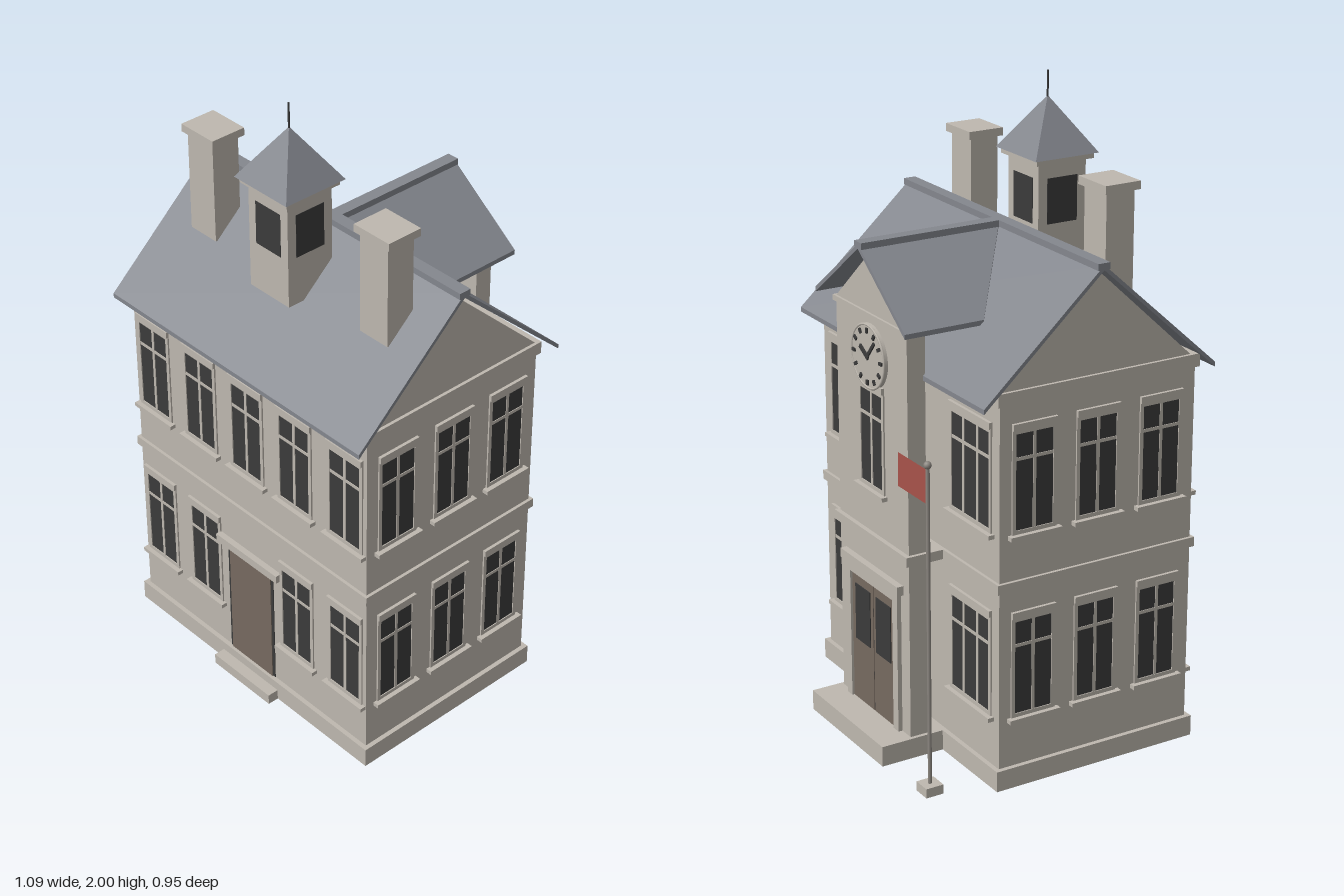
import * as THREE from 'three';

const mat = (name, color, extra = {}) => {
  const m = new THREE.MeshStandardMaterial({ color, ...extra });
  m.name = name;
  return m;
};

export function createModel() {
  const stone = mat('stone', 0xbeb8af);
  const slate = mat('slate', 0x84878e);
  const glass = mat('dark glass', 0x3b3b3b);
  const wood = mat('door wood', 0x766a60);
  const metal = mat('metal', 0x8c8781);
  const red = mat('flag red', 0xa8534a, { side: THREE.DoubleSide });

  const model = new THREE.Group();
  model.name = 'schoolhouse';

  const add = (parent, name, geometry, material, x = 0, y = 0, z = 0) => {
    const mesh = new THREE.Mesh(geometry, material);
    mesh.name = name;
    mesh.position.set(x, y, z);
    parent.add(mesh);
    return mesh;
  };
  // Box given by its extents on each axis
  const box = (parent, name, material, x0, x1, y0, y1, z0, z1) =>
    add(parent, name, new THREE.BoxGeometry(x1 - x0, y1 - y0, z1 - z0), material,
      (x0 + x1) / 2, (y0 + y1) / 2, (z0 + z1) / 2);
  const polygon = (pts) => new THREE.Shape(pts.map(([x, y]) => new THREE.Vector2(x, y)));
  const extrude = (shape, depth) => new THREE.ExtrudeGeometry(shape, { depth, bevelEnabled: false });
  // Group on a wall; its local +z points out of the wall
  const onWall = (name, x, y, z, turn) => {
    const g = new THREE.Group();
    g.name = name;
    g.position.set(x, y, z);
    g.rotation.y = turn;
    model.add(g);
    return g;
  };

  // Walls, plinths, string courses and steps
  box(model, 'mainWalls', stone, -0.52, 0.52, 0.03, 1.24, -0.25, 0.42);
  box(model, 'plinth', stone, -0.535, 0.535, 0, 0.065, -0.265, 0.435);
  box(model, 'stringCourse', stone, -0.53, 0.53, 0.63, 0.66, -0.26, 0.43);
  box(model, 'cornice', stone, -0.53, 0.53, 1.2, 1.24, -0.26, 0.43);
  box(model, 'frontStep', stone, -0.13, 0.13, 0, 0.035, 0.43, 0.472);
  // The tower front stands clear of the main wall, tied to it by its courses
  box(model, 'towerWalls', stone, -0.21, 0.21, 0.03, 1.35, -0.37, -0.31);
  box(model, 'towerStep', stone, -0.222, 0.222, 0, 0.065, -0.475, -0.25);
  box(model, 'towerStringCourse', stone, -0.222, 0.222, 0.63, 0.66, -0.385, -0.25);
  box(model, 'towerCornice', stone, -0.218, 0.218, 1.335, 1.352, -0.378, -0.25);

  // Gable walls
  const mainGable = extrude(polygon([[-0.322, 0], [0.322, 0], [0, 0.3]]), 1.04);
  mainGable.rotateY(Math.PI / 2);
  add(model, 'mainGable', mainGable, stone, -0.52, 1.24, 0.08);
  add(model, 'towerGable', extrude(polygon([[-0.21, 0], [0.21, 0], [0, 0.185]]), 0.35),
    stone, 0, 1.35, -0.37);

  // Roof slabs: flat plan outlines (x, z) lifted onto a slope
  const roofPanel = (name, plan, height, t = 0.015) => {
    const g = extrude(polygon(plan.map(([x, z]) => [x, -z])), t);
    g.rotateX(-Math.PI / 2);
    const p = g.attributes.position;
    for (let i = 0; i < p.count; i++) {
      p.setY(i, p.getY(i) - t + height(p.getX(i), p.getZ(i)));
    }
    g.computeVertexNormals();
    add(model, name, g, slate);
  };
  const mainSlope = (x, z) => 1.567 - 0.9 * Math.abs(z - 0.078);
  const crossSlope = (x) => 1.567 - 0.745 * Math.abs(x);
  for (const z of [0.474, -0.317]) {
    roofPanel('mainRoof', [[-0.545, 0.078], [0.545, 0.078], [0.545, z], [-0.545, z]], mainSlope);
  }
  for (const s of [-1, 1]) {
    roofPanel('crossRoof', [[0, 0.07], [0, -0.409], [s * 0.268, -0.409], [s * 0.268, -0.148]], crossSlope);
  }
  box(model, 'mainRidge', slate, -0.545, 0.545, 1.553, 1.573, 0.057, 0.097);
  box(model, 'crossRidge', slate, -0.02, 0.02, 1.553, 1.573, -0.409, 0.06);

  // Windows: glass, frame, mullions, transom, sill and lintel; y is the bottom of the frame
  const addWindow = (x, y, z, turn, w = 0.15, mullions = 1) => {
    const g = onWall('window', x, y, z, turn);
    const h = 0.318, b = 0.012, r = w / 2;
    const frame = polygon([[-r, 0], [r, 0], [r, h], [-r, h]]);
    frame.holes.push(polygon([[b - r, b], [b - r, h - b], [r - b, h - b], [r - b, b]]));
    add(g, 'windowFrame', extrude(frame, 0.005), stone);
    box(g, 'windowGlass', glass, b - r, r - b, b, h - b, 0, 0.002);
    for (let i = 1; i <= mullions; i++) {
      const mx = -r + (w * i) / (mullions + 1);
      box(g, 'mullion', stone, mx - 0.005, mx + 0.005, b, h - b, 0, 0.004);
    }
    box(g, 'transom', stone, b - r, r - b, 0.225, 0.235, 0, 0.004);
    box(g, 'windowSill', stone, -r - 0.012, r + 0.012, -0.013, 0, 0, 0.02);
    box(g, 'windowLintel', stone, -r, r, h, h + 0.02, 0, 0.01);
  };
  for (const y of [0.223, 0.803]) {
    for (const x of [-0.43, -0.213, 0, 0.213, 0.43]) {
      if (x !== 0 || y > 0.5) addWindow(x, y, 0.42, 0);
    }
    for (const s of [-1, 1]) {
      for (const z of [0.302, 0.082, -0.135]) addWindow(s * 0.52, y, z, s * Math.PI / 2);
      addWindow(s * 0.365, y, -0.25, Math.PI, 0.23, 2);
    }
  }
  addWindow(0, 0.803, -0.37, Math.PI);

  // Front door
  const door = onWall('frontDoor', 0, 0, 0.42, 0);
  box(door, 'doorFrame', glass, -0.105, 0.105, 0.065, 0.475, 0, 0.002);
  box(door, 'doorLeaf', wood, -0.095, 0.095, 0.065, 0.463, 0, 0.005);
  box(door, 'doorLintel', stone, -0.14, 0.14, 0.478, 0.505, 0, 0.02);

  // Double door and portal on the tower
  const portal = onWall('towerPortal', 0, 0, -0.37, Math.PI);
  box(portal, 'portalLintel', stone, -0.175, 0.175, 0.52, 0.55, 0, 0.022);
  box(portal, 'portalHead', stone, -0.16, 0.16, 0.49, 0.52, 0, 0.014);
  for (const s of [-1, 1]) {
    const span = (a, b) => [Math.min(s * a, s * b), Math.max(s * a, s * b)];
    box(portal, 'portalPillar', stone, ...span(0.13, 0.16), 0.065, 0.49, 0, 0.014);
    box(portal, 'doorLeaf', wood, ...span(0.002, 0.13), 0.065, 0.49, 0, 0.006);
    box(portal, 'doorPane', glass, ...span(0.018, 0.108), 0.27, 0.455, 0.004, 0.009);
  }
  box(portal, 'doorGap', glass, -0.002, 0.002, 0.065, 0.49, 0, 0.004);

  // Clock
  const clock = onWall('clock', 0, 1.22, -0.37, Math.PI);
  const disc = new THREE.CylinderGeometry(0.1, 0.1, 0.012, 32).rotateX(Math.PI / 2);
  add(clock, 'clockFace', disc, stone, 0, 0, 0.006);
  add(clock, 'clockRim', new THREE.TorusGeometry(0.097, 0.004, 6, 32), stone, 0, 0, 0.011);
  const pointer = (name, angle, from, to, w) => {
    const g = new THREE.BoxGeometry(w, to - from, 0.005).translate(0, (from + to) / 2, 0);
    add(clock, name, g, glass, 0, 0, 0.0145).rotation.z = -angle;
  };
  for (let i = 0; i < 12; i++) pointer('hourMark', (i * Math.PI) / 6, 0.072, 0.088, 0.01);
  pointer('hourHand', (10 * Math.PI) / 6, -0.008, 0.048, 0.014);
  pointer('minuteHand', Math.PI / 4.5, -0.008, 0.068, 0.01);

  // Chimneys
  for (const x of [-0.37, 0.37]) {
    box(model, 'chimney', stone, x - 0.056, x + 0.056, 1.41, 1.737, 0.162, 0.258);
    box(model, 'chimneyCap', stone, x - 0.07, x + 0.07, 1.735, 1.76, 0.149, 0.269);
  }

  // Bell turret
  const turret = new THREE.Group();
  turret.name = 'bellTurret';
  turret.position.z = 0.237;
  model.add(turret);
  box(turret, 'turretWalls', stone, -0.083, 0.083, 1.4, 1.75, -0.083, 0.083);
  box(turret, 'turretCornice', stone, -0.1, 0.1, 1.742, 1.762, -0.1, 0.1);
  for (let i = 0; i < 4; i++) {
    const opening = new THREE.BoxGeometry(0.105, 0.14, 0.004).translate(0, 0, 0.0825);
    add(turret, 'turretOpening', opening, glass, 0, 1.626, 0).rotation.y = (i * Math.PI) / 2;
  }
  const spire = new THREE.ConeGeometry(0.111 * Math.SQRT2, 0.165, 4, 1).rotateY(Math.PI / 4);
  const flatSpire = spire.toNonIndexed();
  flatSpire.computeVertexNormals();
  add(turret, 'turretRoof', flatSpire, slate, 0, 1.842, 0);
  add(turret, 'finial', new THREE.CylinderGeometry(0.003, 0.003, 0.09, 8), glass, 0, 1.955, 0);

  // Flagpole
  const flagpole = new THREE.Group();
  flagpole.name = 'flagpole';
  flagpole.position.set(-0.43, 0, -0.432);
  model.add(flagpole);
  box(flagpole, 'flagpoleBase', stone, -0.029, 0.029, 0, 0.03, -0.029, 0.029);
  add(flagpole, 'pole', new THREE.CylinderGeometry(0.006, 0.006, 1.0, 10), metal, 0, 0.53, 0);
  add(flagpole, 'poleBall', new THREE.SphereGeometry(0.012, 12, 8), metal, 0, 1.033, 0);
  add(flagpole, 'flag', new THREE.PlaneGeometry(0.165, 0.105), red, 0.086, 0.965, 0);

  return model;
}
